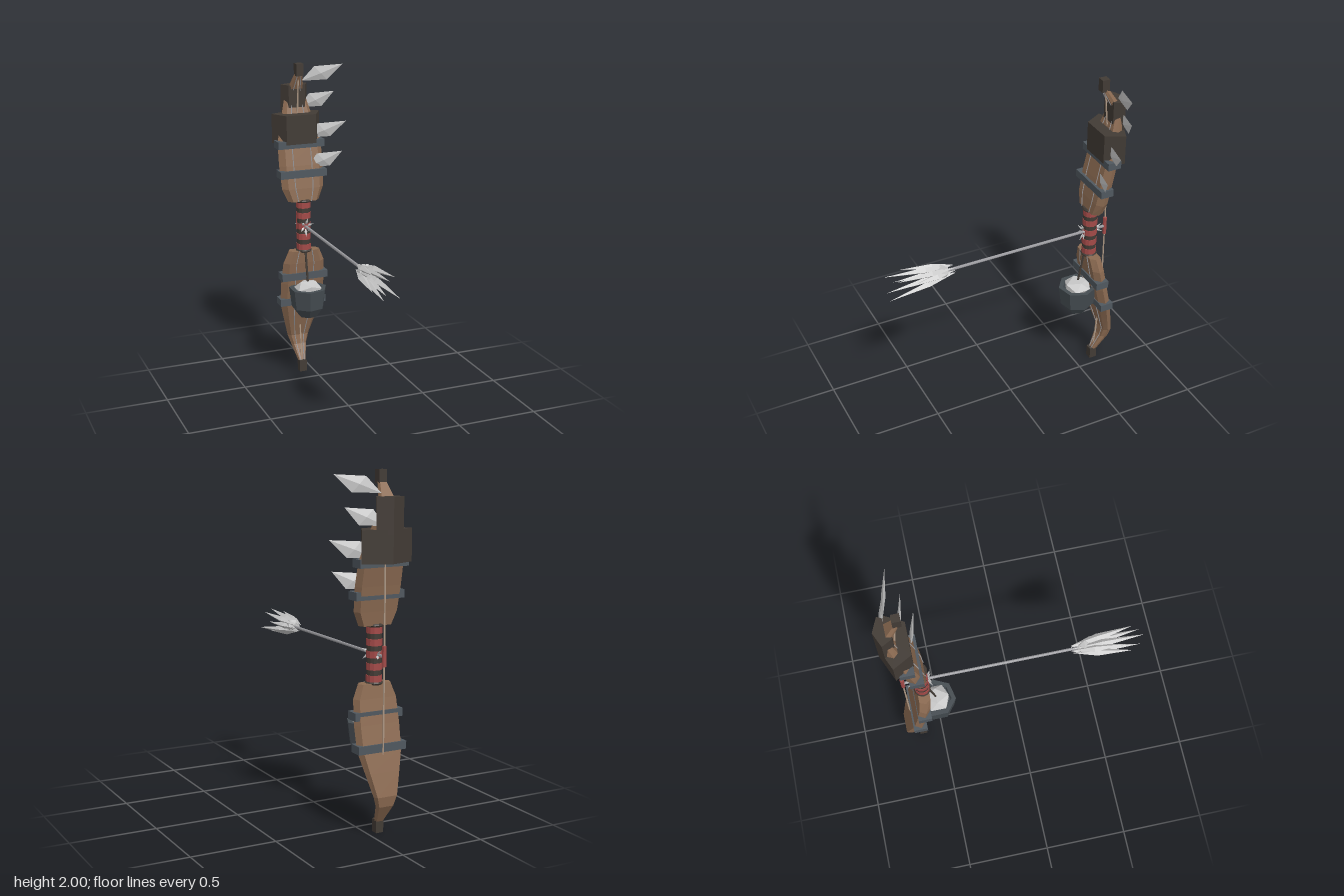
import * as THREE from 'three';

const CX = -0.07; // the bow's centre line
const V = (x, y, z) => new THREE.Vector3(x, y, z);
const mat = (name, color) => {
  const m = new THREE.MeshStandardMaterial({ color, flatShading: true });
  m.name = name;
  return m;
};

// Limb stations from grip to tip: y, half width, centre z, half thickness
const LIMB = [
  [0.84, 0.10, -0.57, 0.034], [0.76, 0.135, -0.58, 0.035], [0.62, 0.143, -0.605, 0.035],
  [0.48, 0.14, -0.635, 0.034], [0.36, 0.108, -0.667, 0.03], [0.23, 0.072, -0.70, 0.025],
  [0.17, 0.052, -0.69, 0.024], [0.06, 0.022, -0.627, 0.016],
];
// Limb cross-section: narrower front, widest in the middle
const SECTION = [[-0.75, 1], [0.75, 1], [1, 0.1], [0.85, -1], [-0.85, -1], [-1, 0.1]];

// Closed skin through rings ordered upwards, each counter-clockwise from above
function loft(rings) {
  const n = rings[0].length, pos = rings.flat().flatMap((p) => p.toArray()), idx = [];
  for (let i = 0; i < rings.length - 1; i++) {
    for (let j = 0; j < n; j++) {
      const a = i * n + j, b = i * n + (j + 1) % n;
      idx.push(a, b, b + n, a, b + n, a + n);
    }
  }
  const top = (rings.length - 1) * n;
  for (let j = 1; j < n - 1; j++) idx.push(0, j + 1, j, top, top + j, top + j + 1);
  const g = new THREE.BufferGeometry();
  g.setAttribute('position', new THREE.Float32BufferAttribute(pos, 3));
  g.setIndex(idx);
  const flat = g.toNonIndexed();
  flat.computeVertexNormals();
  return flat;
}

// Kite-shaped splinter from base to tip, widest at fraction f
function shardGeometry(base, tip, w, t, f = 0.45, skew = 0) {
  const dir = tip.clone().sub(base), len = dir.length();
  dir.normalize();
  const ref = Math.abs(dir.z) > 0.8 ? V(0, 1, 0) : V(0, 0, 1);
  const x = dir.clone().cross(ref).normalize(), z = x.clone().cross(dir);
  const g = new THREE.OctahedronGeometry(1), p = g.attributes.position;
  for (let i = 0; i < p.count; i++) {
    const y = p.getY(i), px = p.getX(i);
    const k = y > 0.5 ? 1 : y < -0.5 ? 0 : f + skew * px;
    p.setXYZ(i, px * w, k * len, p.getZ(i) * t);
  }
  g.applyMatrix4(new THREE.Matrix4().makeBasis(x, dir, z).setPosition(base));
  g.computeVertexNormals();
  return g;
}

export function createModel() {
  const wood = mat('wood', 0x8c6b52), dark = mat('darkLeather', 0x423b35);
  const iron = mat('iron', 0x50585f), red = mat('redWrap', 0xa34a48);
  const bone = mat('paleStone', 0xc8c8c8), steel = mat('steel', 0x98989c);
  const cord = mat('stringFibre', 0xb09a86), pail = mat('potIron', 0x454c51);
  const model = new THREE.Group();
  model.name = 'bow';

  const add = (name, geo, material, x = 0, y = 0, z = 0) => {
    const m = new THREE.Mesh(geo, material);
    m.name = name;
    m.position.set(x, y, z);
    model.add(m);
    return m;
  };
  const box = (name, material, w, h, d, x, y, z) =>
    add(name, new THREE.BoxGeometry(w, h, d), material, x, y, z);
  const rod = (name, a, b, r, material, sides = 6) => {
    const d = b.clone().sub(a);
    const m = add(name, new THREE.CylinderGeometry(r, r, d.length(), sides), material);
    m.position.copy(a).addScaledVector(d, 0.5);
    m.quaternion.setFromUnitVectors(V(0, 1, 0), d.normalize());
    return m;
  };

  // Both halves of the bow, the upper one mirrored about y = 1
  for (const upper of [false, true]) {
    const side = upper ? 'upper' : 'lower';
    const Y = (y) => (upper ? 2 - y : y);
    const rings = LIMB.map(([y, w, z, t]) =>
      SECTION.map(([sx, sz]) => V(CX + sx * w, Y(y), z + sz * t)));
    if (!upper) rings.reverse();
    add(side + 'Limb', loft(rings), wood);
    box(side + 'TipCap', dark, 0.046, 0.075, 0.046, CX, Y(0.0375), -0.624);
    box(side + 'InnerBand', iron, 0.3, 0.046, 0.082, CX, Y(0.67), -0.59);
    box(side + 'OuterBand', iron, 0.3, 0.046, 0.084, CX, Y(0.492), -0.63);

    // Thin sinews along the face of the limb
    for (const s of [-0.42, 0.42]) {
      for (let i = 0; i < LIMB.length - 1; i++) {
        const [a, b] = [LIMB[i], LIMB[i + 1]].map(([y, w, z, t]) =>
          V(CX + s * w, Y(y), z + t + 0.002));
        rod(side + 'Sinew', a, b, 0.003, steel, 4);
      }
    }

    // Bowstring half
    const pts = [V(CX, Y(0.06), -0.632), V(CX, Y(0.5), -0.675), V(CX, 1, -0.675)];
    rod(side + 'StringEnd', pts[0], pts[1], 0.005, cord);
    rod(side + 'String', pts[1], pts[2], 0.005, cord);
    const rim = add(side + 'GripRim', new THREE.TorusGeometry(0.042, 0.009, 6, 12), dark, CX, Y(0.84), -0.57);
    rim.rotation.x = Math.PI / 2;
  }
  rod('stringWrap', V(CX, 0.945, -0.675), V(CX, 1.06, -0.675), 0.012, red, 8);

  // Grip core with red wrappings
  rod('grip', V(CX, 0.83, -0.57), V(CX, 1.17, -0.57), 0.042, dark, 12);
  for (let i = 0; i < 5; i++) {
    add('gripWrap', new THREE.CylinderGeometry(0.045, 0.045, 0.038, 12), red, CX, 0.865 + i * 0.0675, -0.57);
  }

  // Five-sided armour sleeves on the upper limb
  for (const [name, r, h, y, z, depth] of [
    ['largeSleeve', 0.163, 0.18, 1.6, -0.662, 0.59],
    ['smallSleeve', 0.089, 0.2, 1.762, -0.705, 0.6],
  ]) {
    const g = new THREE.CylinderGeometry(r, r, h, 5).rotateY(Math.PI).scale(1, 1, depth);
    add(name, g, dark, CX, y, z);
  }

  // Blades on the left edge of the upper limb: tip x, y, z
  for (const [x, y, z] of [[0.22, 1.98, -0.63], [0.175, 1.81, -0.665], [0.22, 1.635, -0.58], [0.175, 1.46, -0.53]]) {
    const base = V(x - (x > 0.2 ? 0.25 : 0.21), y - 0.1, z - 0.065);
    add('blade', shardGeometry(base, V(x, y, z), 0.054, 0.012, 0.47, 0.08), bone);
  }

  // Arrow shaft, knot and splintered head
  rod('arrowShaft', V(CX, 1, -0.67), V(CX, 1, 0.38), 0.009, steel, 8);
  add('arrowKnot', new THREE.IcosahedronGeometry(0.044, 0), bone, CX, 1, 0.405);
  const tips = [
    [-0.09, 1.06, 0.755], [-0.012, 0.945, 0.755], [-0.14, 0.97, 0.68], [-0.02, 1.05, 0.7],
    [-0.125, 1.055, 0.64], [-0.05, 0.932, 0.66], [-0.1, 0.937, 0.74], [-0.015, 1.0, 0.62],
  ];
  for (const [x, y, z] of tips) {
    const base = V(CX + (x - CX) * 0.3, 1 + (y - 1) * 0.3, 0.325);
    add('arrowSplinter', shardGeometry(base, V(x, y, z), 0.024, 0.02, 0.42), bone);
  }

  // Small splinters where the shaft leaves the grip, and at the nock
  for (let i = 0; i < 6; i++) {
    const a = (i / 6) * Math.PI * 2 + 0.4, c = Math.cos(a), s = Math.sin(a);
    add('gripSplinter', shardGeometry(V(CX + c * 0.008, 1 + s * 0.008, -0.53),
      V(CX + c * 0.045, 1 + s * 0.06, -0.505), 0.009, 0.006), bone);
    if (i % 2) {
      add('nockSplinter', shardGeometry(V(CX, 1, -0.6),
        V(CX + c * 0.03, 1 + s * 0.03, -0.65), 0.008, 0.005), bone);
    }
  }

  // Hanging seven-sided pot with its pale contents
  const profile = [[0, 0.425], [0.06, 0.425], [0.104, 0.485], [0.12, 0.61], [0.092, 0.61], [0.085, 0.585], [0, 0.585]]
    .map(([r, y]) => new THREE.Vector2(r, y));
  add('pot', new THREE.LatheGeometry(profile, 7, Math.PI / 2), pail, CX, 0, -0.5);
  add('potContents', new THREE.IcosahedronGeometry(1, 0).scale(0.09, 0.05, 0.09), bone, CX, 0.608, -0.5);
  rod('potCord', V(CX, 0.85, -0.54), V(CX, 0.63, -0.5), 0.007, dark);

  return model;
}
